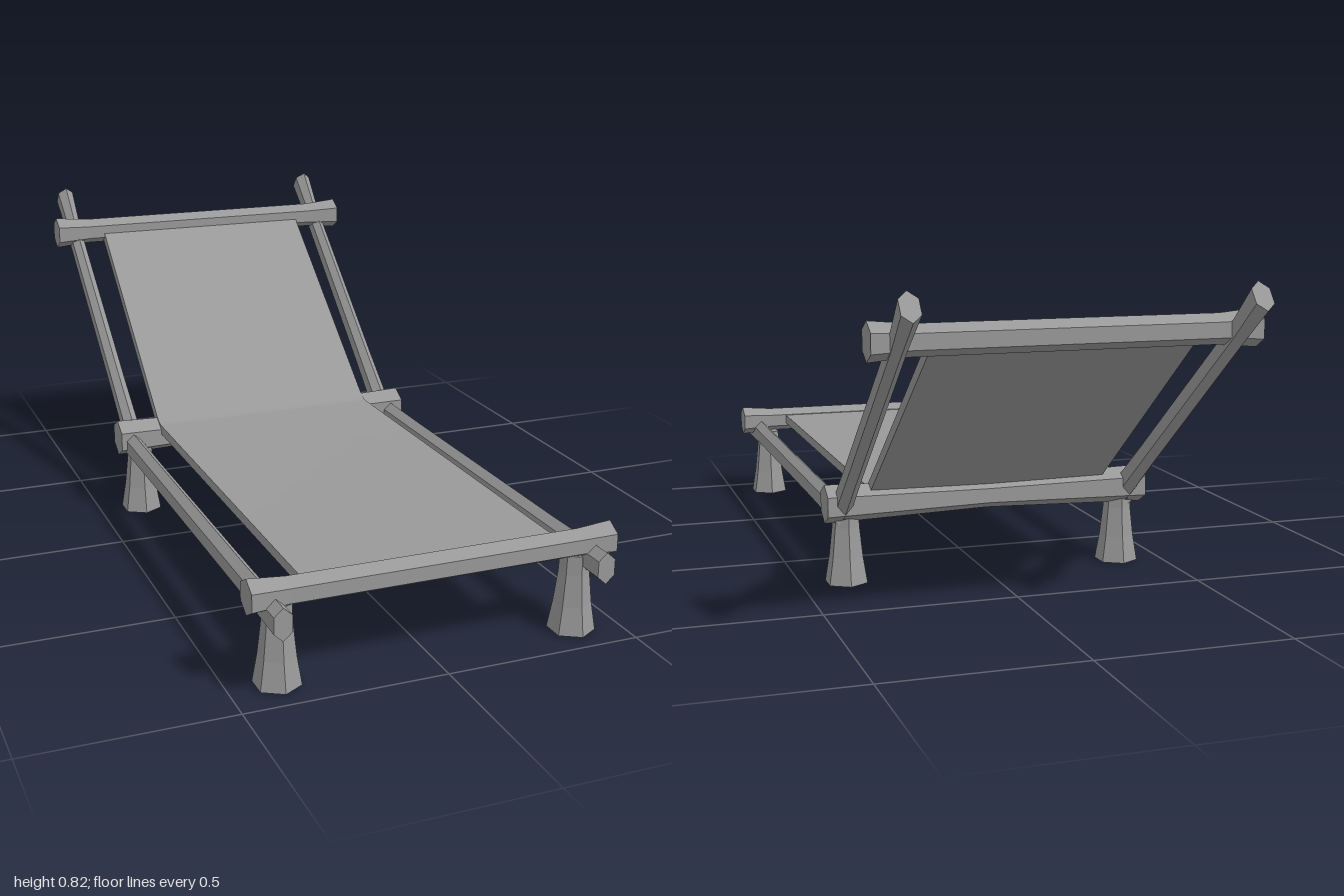
import * as THREE from 'three';
import { toCreasedNormals } from 'three/addons/utils/BufferGeometryUtils.js';

const wood = new THREE.MeshStandardMaterial({ color: 0x999999, flatShading: true });
const cloth = new THREE.MeshStandardMaterial({ color: 0x999999 });

// Six-sided timber along y from [radius, y] pairs, with closed ends
function timber(rings) {
  const pts = [[0, rings[0][1]], ...rings, [0, rings[rings.length - 1][1]]];
  return new THREE.LatheGeometry(pts.map(([r, y]) => new THREE.Vector2(r, y)), 6);
}

export function createModel() {
  const group = new THREE.Group();
  const add = (name, geometry, x, y, z, material = wood) => {
    const mesh = new THREE.Mesh(geometry, material);
    mesh.name = name;
    mesh.position.set(x, y, z);
    group.add(mesh);
  };

  // Crossbars, running along x with a corner facing up
  const bar = (name, rings, y, z) =>
    add(name, timber(rings).rotateY(Math.PI / 2).rotateZ(Math.PI / 2), 0, y, z);
  bar('frontCrossbar', [[0.044, -0.46], [0.036, -0.37], [0.036, 0.37], [0.044, 0.46]], 0.234, 0.917);
  bar('middleCrossbar', [[0.051, -0.44], [0.038, 0], [0.051, 0.44]], 0.214, -0.25);
  bar('topCrossbar', [[0.046, -0.467], [0.037, -0.37], [0.037, 0.37], [0.046, 0.467]], 0.705, -0.83);

  for (const s of [1, -1]) {
    const side = s > 0 ? 'left' : 'right';

    // Flared legs
    for (const [end, z] of [['Front', 0.897], ['Rear', -0.235]]) {
      add(`${side}${end}Leg`, timber([[0.058, 0], [0.046, 0.07], [0.037, 0.15], [0.035, 0.2]]), s * 0.381, 0, z);
    }

    // Seat rail, narrow in x and flared at the front
    const rail = timber([[0.038, -0.26], [0.036, 0], [0.036, 0.75], [0.04, 1]]);
    add(`${side}SeatRail`, rail.rotateX(Math.PI / 2).scale(0.64, 1, 1), s * 0.404, 0.196, 0);

    // Leaning back pole, its flared tip curving slightly upward
    const pole = timber([[0.038, 0], [0.035, 0.2], [0.034, 0.5], [0.033, 0.78], [0.041, 0.926]]);
    pole.scale(0.64, 1, 1);
    const p = pole.attributes.position;
    for (let i = 0; i < p.count; i++) if (p.getY(i) > 0.9) p.setZ(i, p.getZ(i) + 0.006);
    pole.rotateZ(-s * 0.014).rotateX(-0.891);
    add(`${side}BackPole`, pole, s * 0.394, 0.205, -0.25);
  }

  // Cloth sling: side profile in (z, y), tightly rounded at the bend, extruded across the width
  const profile = new THREE.Shape();
  profile.moveTo(0.92, 0.25);
  profile.lineTo(-0.205, 0.25);
  profile.quadraticCurveTo(-0.23, 0.25, -0.25, 0.266);
  profile.lineTo(-0.82, 0.716);
  profile.lineTo(-0.838, 0.694);
  profile.lineTo(-0.268, 0.244);
  profile.quadraticCurveTo(-0.243, 0.224, -0.205, 0.224);
  profile.lineTo(0.92, 0.224);
  profile.closePath();
  const sling = new THREE.ExtrudeGeometry(profile, { depth: 0.644, bevelEnabled: false, curveSegments: 6 });
  sling.translate(0, 0, -0.322).rotateY(-Math.PI / 2);
  add('slingCloth', toCreasedNormals(sling, 0.5), 0, 0, 0, cloth);

  return group;
}
